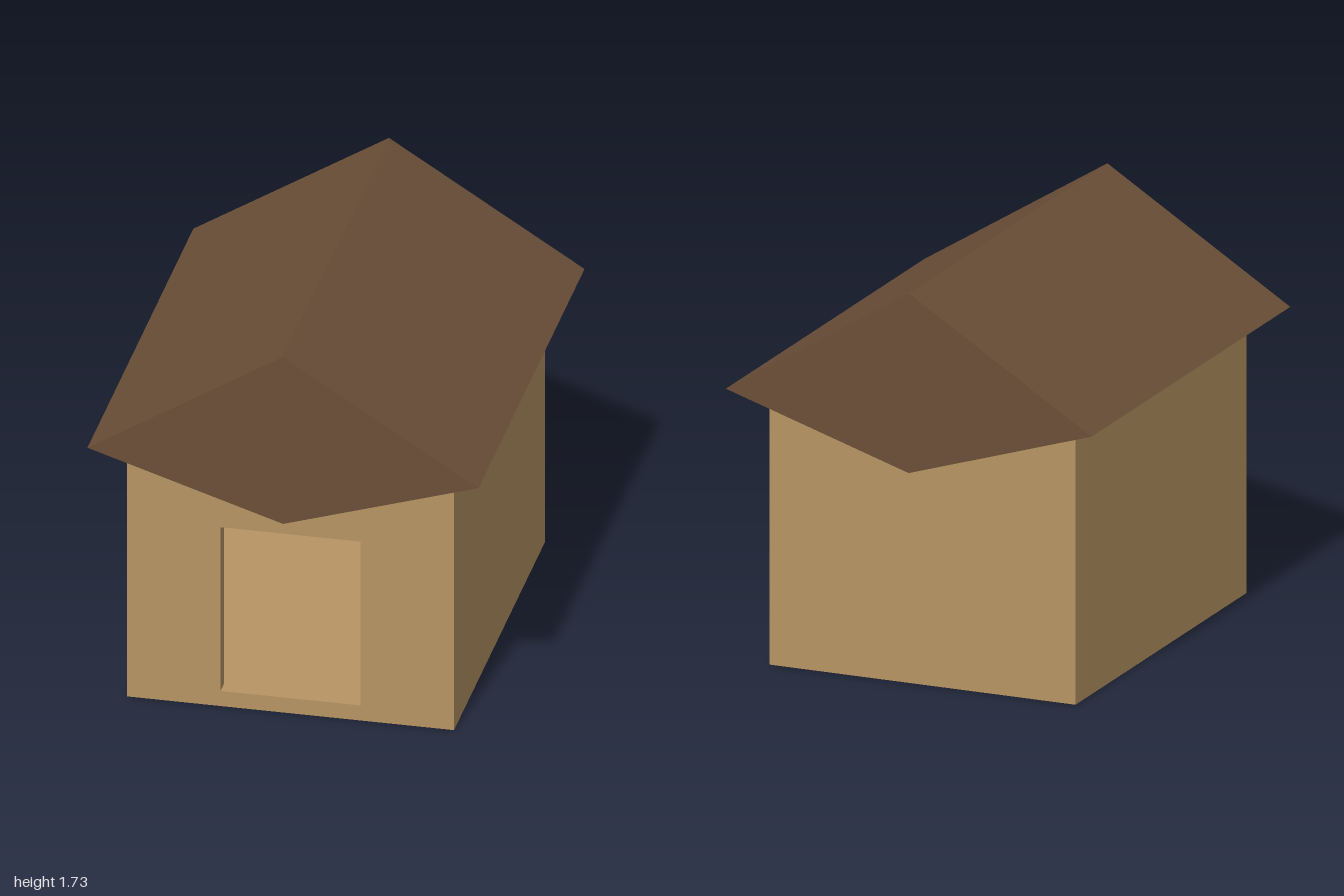
import * as THREE from 'three';

const W = 1.38, D = 1.72, H = 1.2, T = 0.07; // house width, depth, wall height, board thickness

export function createModel() {
  const model = new THREE.Group();
  const wood = new THREE.MeshStandardMaterial({ color: 0xb89564 });
  wood.name = 'tanWood';
  const roofing = new THREE.MeshStandardMaterial({ color: 0x6b4f38 });
  roofing.name = 'brownRoof';

  const add = (name, geometry, material, x, y, z) => {
    const mesh = new THREE.Mesh(geometry, material);
    mesh.name = name;
    mesh.position.set(x, y, z);
    model.add(mesh);
  };
  const polygon = (points) => new THREE.Shape(points.map(([x, y]) => new THREE.Vector2(x, y)));
  const extrude = (shape, depth) => new THREE.ExtrudeGeometry(shape, { depth, bevelEnabled: false });

  // Front wall with the doorway cut out
  const front = polygon([[-W / 2, 0], [W / 2, 0], [W / 2, H], [-W / 2, H]]);
  front.holes.push(polygon([[-0.295, T], [-0.295, 0.83], [0.295, 0.83], [0.295, T]]));
  add('frontWall', extrude(front, T), wood, 0, 0, D / 2 - T);

  // Back wall, side walls and floor enclose the hollow inside
  add('backWall', new THREE.BoxGeometry(W, H, T), wood, 0, H / 2, -D / 2 + T / 2);
  for (const [name, side] of [['leftWall', 1], ['rightWall', -1]]) {
    add(name, new THREE.BoxGeometry(T, H, D - 2 * T), wood, side * (W - T) / 2, H / 2, 0);
  }
  add('floor', new THREE.BoxGeometry(W - 2 * T, T, D - 2 * T), wood, 0, T / 2, 0);

  // Solid kite-shaped roof overhanging every side
  const gable = polygon([[0, 0.95], [0.825, 1.21], [0, 1.725], [-0.825, 1.21]]);
  add('roof', extrude(gable, 2), roofing, 0, 0, -1);

  return model;
}
